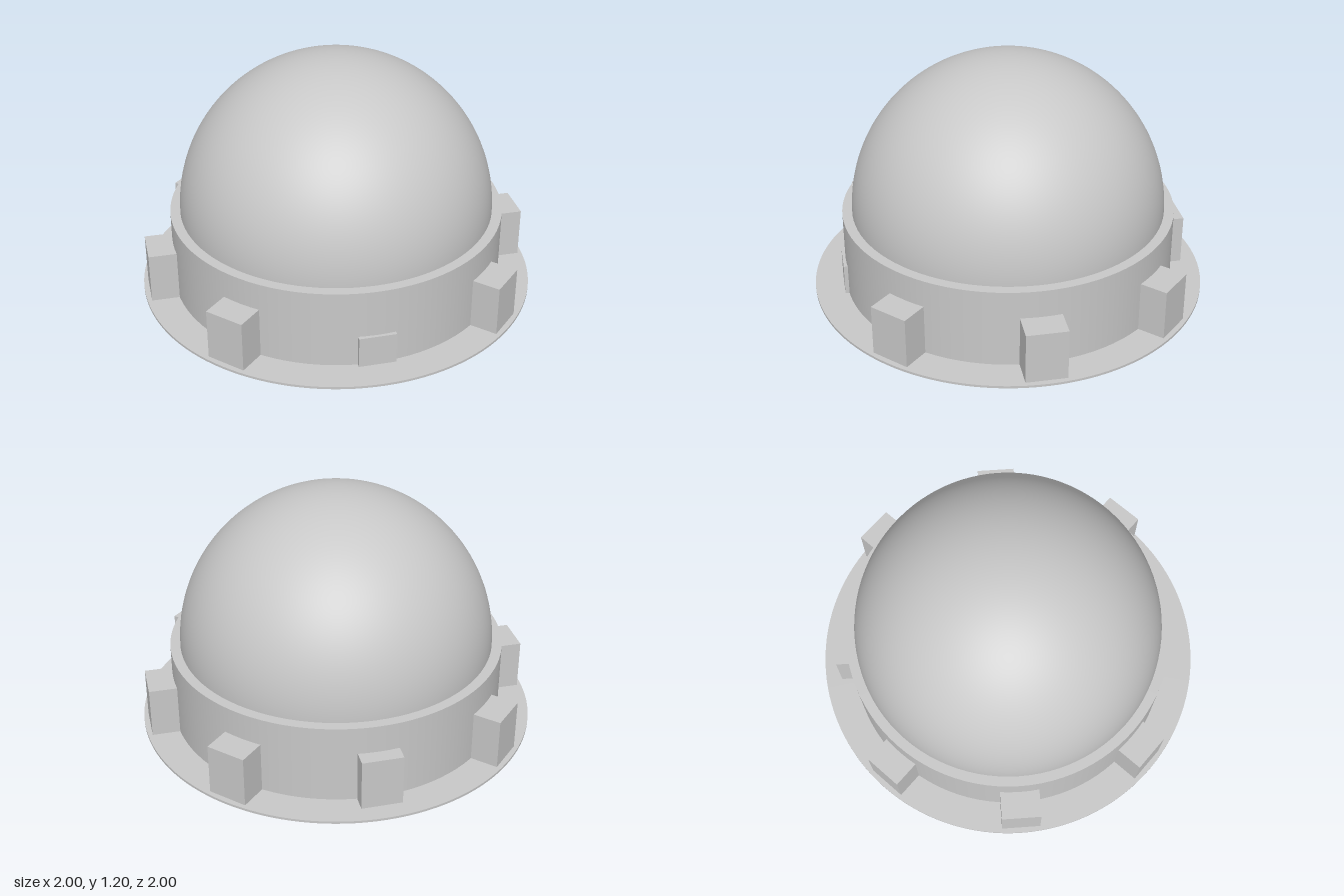
import * as THREE from 'three';

const grey = new THREE.MeshStandardMaterial({ color: 0xc8c8c8 });
grey.name = 'light grey';

function add(group, name, geometry, x = 0, y = 0, z = 0) {
  const mesh = new THREE.Mesh(geometry, grey);
  mesh.name = name;
  mesh.position.set(x, y, z);
  group.add(mesh);
  return mesh;
}

// Block standing on the ground, reaching from inside the wall out to radius `outer`
function addBlock(group, name, angle, width, height, outer) {
  const inner = 0.8;
  const mid = (inner + outer) / 2;
  const geometry = new THREE.BoxGeometry(width, height, outer - inner);
  const block = add(group, name, geometry, Math.sin(angle) * mid, height / 2, Math.cos(angle) * mid);
  block.rotation.y = angle;
}

export function createModel() {
  const model = new THREE.Group();
  model.name = 'domedBuilding';

  // Thin ground disc
  add(model, 'basePlate', new THREE.CylinderGeometry(1, 1, 0.012, 128), 0, 0.006, 0);

  // Round wall with a flat rim
  add(model, 'ringWall', new THREE.CylinderGeometry(0.84, 0.84, 0.398, 96), 0, 0.211, 0);

  // Hemispherical roof
  add(model, 'dome', new THREE.SphereGeometry(0.79, 96, 40, 0, Math.PI * 2, 0, Math.PI / 2), 0, 0.41, 0);

  // Low door at the front, shallower block at the back
  addBlock(model, 'frontDoor', 0, 0.18, 0.17, 0.855);
  addBlock(model, 'backBlock', Math.PI, 0.2, 0.27, 0.91);

  // Buttresses on the sides and diagonals, mirrored left and right
  for (const side of [1, -1]) {
    for (const step of [1, 2, 3]) {
      addBlock(model, 'buttress', side * step * Math.PI / 4, 0.2, 0.27, 0.973);
    }
  }

  return model;
}
